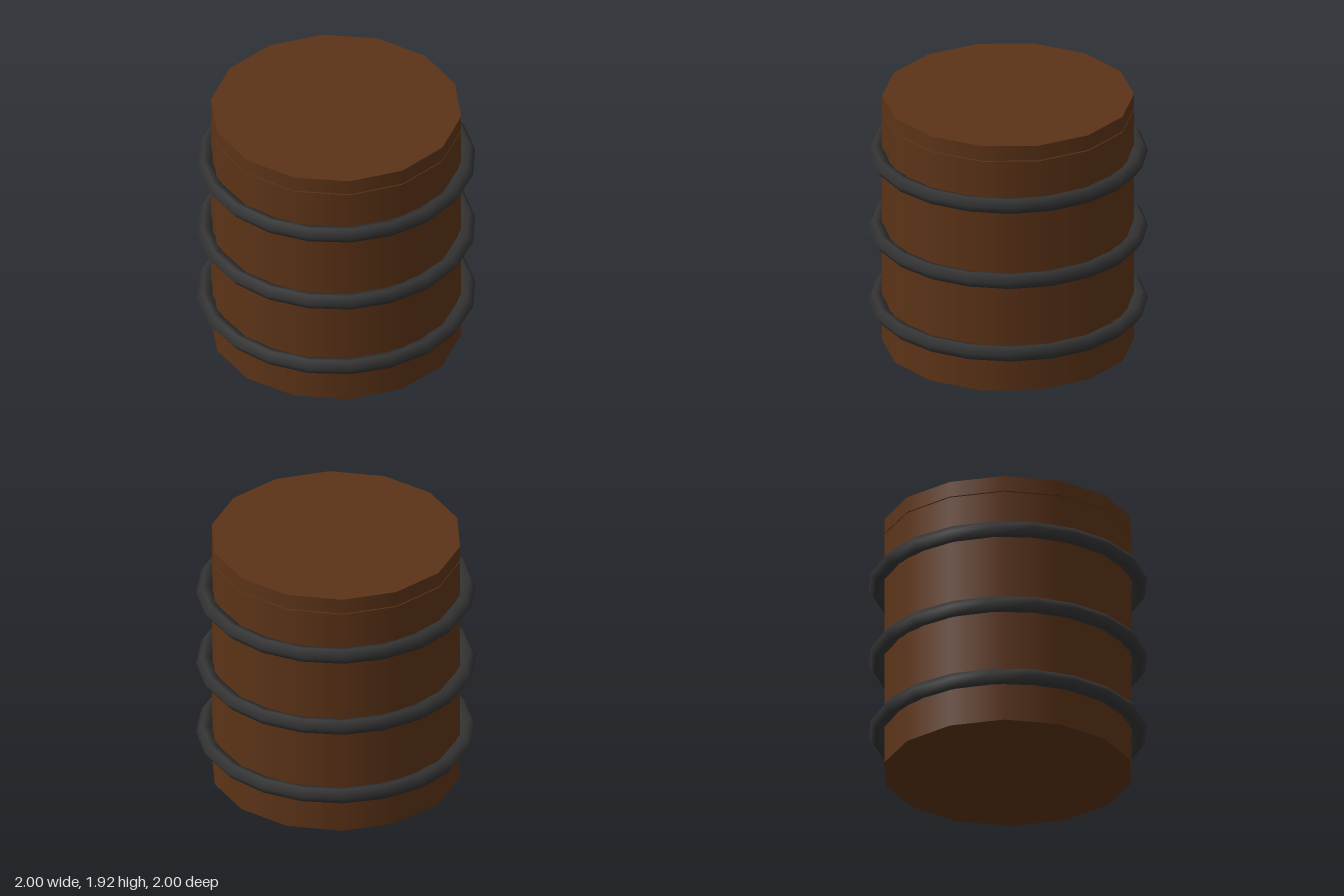
import * as THREE from 'three';

export function createModel() {
  const barrel = new THREE.Group();
  barrel.name = 'barrel';
  const wood = new THREE.MeshStandardMaterial({ color: 0x5c3317 });
  const iron = new THREE.MeshStandardMaterial({ color: 0x333333 });

  // Fourteen-sided wooden drum between two heights
  function drum(name, bottom, top) {
    const mesh = new THREE.Mesh(new THREE.CylinderGeometry(0.9, 0.9, top - bottom, 14), wood);
    mesh.name = name;
    mesh.position.y = (bottom + top) / 2;
    barrel.add(mesh);
  }
  drum('body', 0, 1.797);
  // Lid, separated from the body by a hairline gap
  drum('lid', 1.804, 1.92);

  // Iron hoops with a five-sided section
  const hoopGeometry = new THREE.TorusGeometry(0.94, 0.06, 5, 20).rotateX(Math.PI / 2);
  ['lowerHoop', 'middleHoop', 'upperHoop'].forEach((name, i) => {
    const hoop = new THREE.Mesh(hoopGeometry, iron);
    hoop.name = name;
    hoop.position.y = [0.32, 0.89, 1.48][i];
    barrel.add(hoop);
  });

  return barrel;
}
